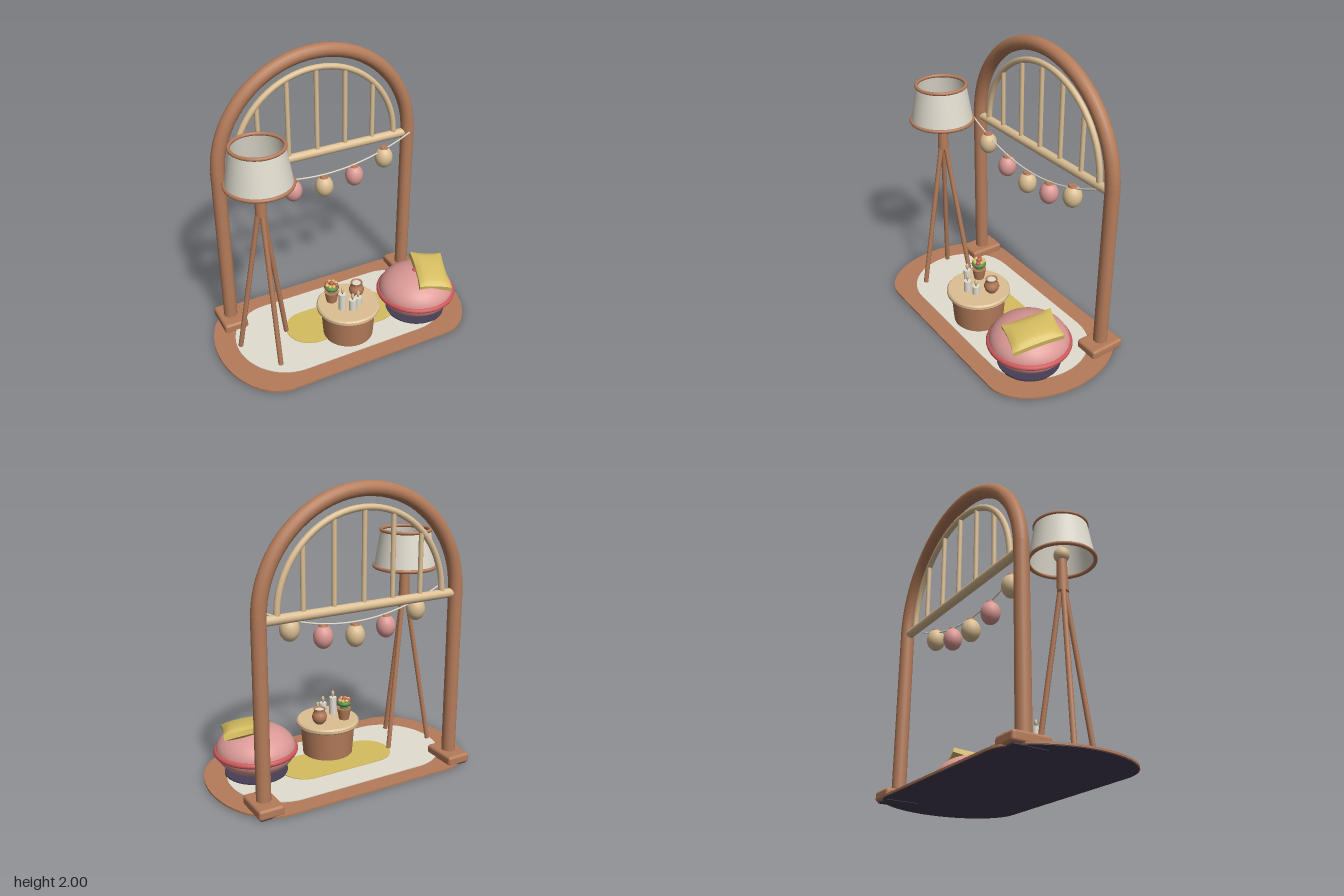
import * as THREE from 'three';
import { RoundedBoxGeometry } from 'three/addons/geometries/RoundedBoxGeometry.js';

const mat = (name, color, side = THREE.FrontSide) => {
  const m = new THREE.MeshStandardMaterial({ color, side });
  m.name = name;
  return m;
};

export function createModel() {
  const wood = mat('wood', 0xb57c5a);
  const tan = mat('paleWood', 0xdcbf94);
  const cream = mat('cream', 0xe2ddd0, THREE.DoubleSide);
  const pink = mat('pink', 0xdc9a96);
  const red = mat('red', 0xd0595c);
  const yellow = mat('yellow', 0xd6bd60);
  const dark = mat('darkSole', 0x463e54);
  const green = mat('green', 0x5a8a4c);

  const model = new THREE.Group();
  model.name = 'cosyCorner';
  const group = (name, x = 0, y = 0, z = 0) => {
    const g = new THREE.Group();
    g.name = name;
    g.position.set(x, y, z);
    model.add(g);
    return g;
  };
  const add = (parent, name, geo, material, x = 0, y = 0, z = 0) => {
    const m = new THREE.Mesh(geo, material);
    m.name = name;
    m.position.set(x, y, z);
    parent.add(m);
    return m;
  };
  const cyl = (rTop, rBottom, h, n = 20) => new THREE.CylinderGeometry(rTop, rBottom, h, n);
  const ball = (r) => new THREE.SphereGeometry(r, 20, 14);
  const ring = (R, r) => new THREE.TorusGeometry(R, r, 10, 40).rotateX(Math.PI / 2);
  const lathe = (pts, n = 32) =>
    new THREE.LatheGeometry(pts.map(([x, y]) => new THREE.Vector2(x, y)), n);

  // Rug: layered ovals with straight long sides
  const rug = group('rug');
  const oval = (name, half, rx, rz, y0, y1, material) => {
    const s = new THREE.Shape();
    s.absellipse(half, 0, rx, rz, -Math.PI / 2, Math.PI / 2);
    s.absellipse(-half, 0, rx, rz, Math.PI / 2, Math.PI * 1.5);
    const geo = new THREE.ExtrudeGeometry(s, { depth: y1 - y0, bevelEnabled: false, curveSegments: 12 });
    add(rug, name, geo.rotateX(-Math.PI / 2), material, 0, y0, 0);
  };
  oval('rugSole', 0.6, 0.325, 0.49, 0.003, 0.009, dark);
  oval('rugBorder', 0.6, 0.333, 0.497, 0.007, 0.02, wood);
  oval('rugCentre', 0.45, 0.34, 0.375, 0.019, 0.025, cream);
  oval('rugRunner', 0.25, 0.17, 0.175, 0.024, 0.03, yellow);

  // Arch frame: feet, posts, outer arch, rail, inner arch and slats
  const frame = group('archFrame', 0, 0, -0.345);
  const archPath = (r, cy) => {
    const pts = [];
    for (let i = 0; i <= 24; i++) {
      const a = (Math.PI * i) / 24;
      pts.push(new THREE.Vector3(r * Math.cos(a), cy + r * Math.sin(a), 0));
    }
    return new THREE.CatmullRomCurve3(pts);
  };
  for (const s of [-1, 1]) {
    add(frame, 'foot', new RoundedBoxGeometry(0.175, 0.07, 0.26, 3, 0.02), wood, s * 0.72, 0.043, 0);
    add(frame, 'footSole', new THREE.BoxGeometry(0.14, 0.009, 0.225), dark, s * 0.72, 0.0045, 0);
    add(frame, 'post', cyl(0.048, 0.048, 1.2, 24), wood, s * 0.72, 0.67, 0);
  }
  add(frame, 'outerArch', new THREE.TubeGeometry(archPath(0.72, 1.232), 36, 0.048, 16), wood);
  add(frame, 'rail', cyl(0.031, 0.031, 1.4).rotateZ(Math.PI / 2), tan, 0, 1.224, 0);
  add(frame, 'innerArch', new THREE.TubeGeometry(archPath(0.602, 1.237), 36, 0.021, 10), tan);
  for (let i = -2; i <= 2; i++) {
    const x = i * 0.213;
    const top = 1.237 + Math.sqrt(0.6 ** 2 - x * x);
    add(frame, 'slat', cyl(0.016, 0.016, top - 1.23, 12), tan, x, (top + 1.23) / 2, 0);
  }

  // Lantern garland on a sagging string
  const garland = group('garland', 0, 0, -0.245);
  const sag = (x) => 1.098 + 0.167 * (x / 0.68) ** 2;
  const stringPts = [];
  for (let i = -6; i <= 6; i++) {
    const x = (i / 6) * 0.68;
    stringPts.push(new THREE.Vector3(x, sag(x), 0));
  }
  add(garland, 'string', new THREE.TubeGeometry(new THREE.CatmullRomCurve3(stringPts), 40, 0.006, 6), cream);
  [1.12, 1.035, 1.008, 1.035, 1.12].forEach((y, i) => {
    const x = (i - 2) * 0.235;
    add(garland, 'lantern', ball(0.064).scale(1, 1.22, 1), i % 2 ? pink : tan, x, y, 0);
    add(garland, 'lanternCap', cyl(0.026, 0.032, 0.016), wood, x, y + 0.073, 0);
  });

  // Tripod floor lamp with open shade
  const lamp = group('floorLamp', -0.59, 0, 0.06);
  const up = new THREE.Vector3(0, 1, 0);
  for (let i = 0; i < 3; i++) {
    const a = (i * Math.PI * 2) / 3;
    const foot = new THREE.Vector3(0.2 * Math.sin(a), 0.03, 0.2 * Math.cos(a));
    const head = new THREE.Vector3(0.012 * Math.sin(a), 1.17, 0.012 * Math.cos(a));
    const dir = head.clone().sub(foot);
    const mid = head.clone().add(foot).multiplyScalar(0.5);
    const leg = add(lamp, 'lampLeg', cyl(0.017, 0.017, dir.length(), 10), wood, mid.x, mid.y, mid.z);
    leg.quaternion.setFromUnitVectors(up, dir.normalize());
  }
  add(lamp, 'lampHub', cyl(0.032, 0.038, 0.23), wood, 0, 1.235, 0);
  add(lamp, 'bulb', ball(0.052), tan, 0, 1.385, 0);
  add(lamp, 'lampShade', new THREE.CylinderGeometry(0.172, 0.215, 0.255, 40, 1, true), cream, 0, 1.468, 0);
  add(lamp, 'shadeTopRim', ring(0.17, 0.012), wood, 0, 1.595, 0);
  add(lamp, 'shadeBottomRim', ring(0.214, 0.013), wood, 0, 1.342, 0);

  // Round side table
  const table = group('sideTable', -0.02, 0, 0.155);
  add(table, 'tableBody', cyl(0.193, 0.176, 0.225, 36), wood, 0, 0.135, 0);
  add(table, 'tableTop', lathe([[0, 0.24], [0.212, 0.24], [0.212, 0.24], [0.222, 0.25], [0.222, 0.25],
    [0.222, 0.269], [0.222, 0.269], [0.212, 0.28], [0.212, 0.28], [0, 0.28]], 40), tan);

  // Flower pot
  const plant = group('flowerPot', -0.115, 0.28, 0.085);
  add(plant, 'pot', cyl(0.05, 0.036, 0.08), wood, 0, 0.04, 0);
  add(plant, 'stem', cyl(0.02, 0.03, 0.05, 10), green, 0, 0.1, 0);
  add(plant, 'leaves', ball(0.052).scale(1, 0.5, 1), green, 0, 0.12, 0);
  add(plant, 'centreBloom', ball(0.016), red, 0, 0.15, 0);
  for (let i = 0; i < 8; i++) {
    const a = (i * Math.PI) / 4;
    add(plant, 'bloom', ball(0.014), i % 4 === 1 ? red : yellow,
      0.034 * Math.cos(a), 0.142, 0.034 * Math.sin(a));
  }

  // Small vase with a pale inside
  const vase = group('vase', 0.072, 0.28, 0.105);
  add(vase, 'vaseBody', lathe([[0, 0], [0.03, 0], [0.046, 0.02], [0.054, 0.048], [0.046, 0.075],
    [0.034, 0.09], [0.042, 0.106], [0.04, 0.11], [0.03, 0.102]], 24), wood);
  add(vase, 'vaseInside', cyl(0.031, 0.031, 0.006), cream, 0, 0.098, 0);

  // Candles with flames
  const candles = group('candles');
  for (const [x, z, top] of [[-0.09, 0.2, 0.408], [-0.03, 0.238, 0.365], [0.03, 0.207, 0.343]]) {
    add(candles, 'candle', cyl(0.026, 0.026, top - 0.28, 18), cream, x, (top + 0.28) / 2, z);
    add(candles, 'wick', cyl(0.003, 0.003, 0.016, 6), dark, x, top + 0.006, z);
    add(candles, 'flame', ball(0.011).scale(1, 2, 1), tan, x, top + 0.028, z);
  }

  // Pouf with piping, button and dark base
  const pouf = group('pouf', 0.55, 0, 0.135);
  add(pouf, 'poufBase', cyl(0.215, 0.215, 0.014, 36), dark, 0, 0.027, 0);
  add(pouf, 'poufBody', new THREE.SphereGeometry(0.27, 40, 24).scale(1, 0.61, 1), pink, 0, 0.19, 0);
  add(pouf, 'piping', ring(0.267, 0.02), red, 0, 0.187, 0);
  add(pouf, 'button', ball(0.03).scale(1, 0.5, 1), red, 0, 0.355, 0);

  // Pillow: box swollen in the middle with pulled corners
  const W = 0.24, H = 0.1, D = 0.345;
  const pillowGeo = new THREE.BoxGeometry(W, H, D, 10, 2, 14);
  const p = pillowGeo.attributes.position;
  for (let i = 0; i < p.count; i++) {
    const u = (2 * p.getX(i)) / W, v = (2 * p.getZ(i)) / D;
    const swell = 0.35 + 0.65 * Math.sqrt((1 - u * u) * (1 - v * v));
    p.setXYZ(i, p.getX(i) * (0.94 + 0.06 * v * v), p.getY(i) * swell, p.getZ(i) * (0.94 + 0.06 * u * u));
  }
  pillowGeo.computeVertexNormals();
  const pillow = add(model, 'pillow', pillowGeo, yellow, 0.64, 0.338, 0.18);
  pillow.rotation.set(0.2, -0.33, -0.17, 'YXZ');

  return model;
}
